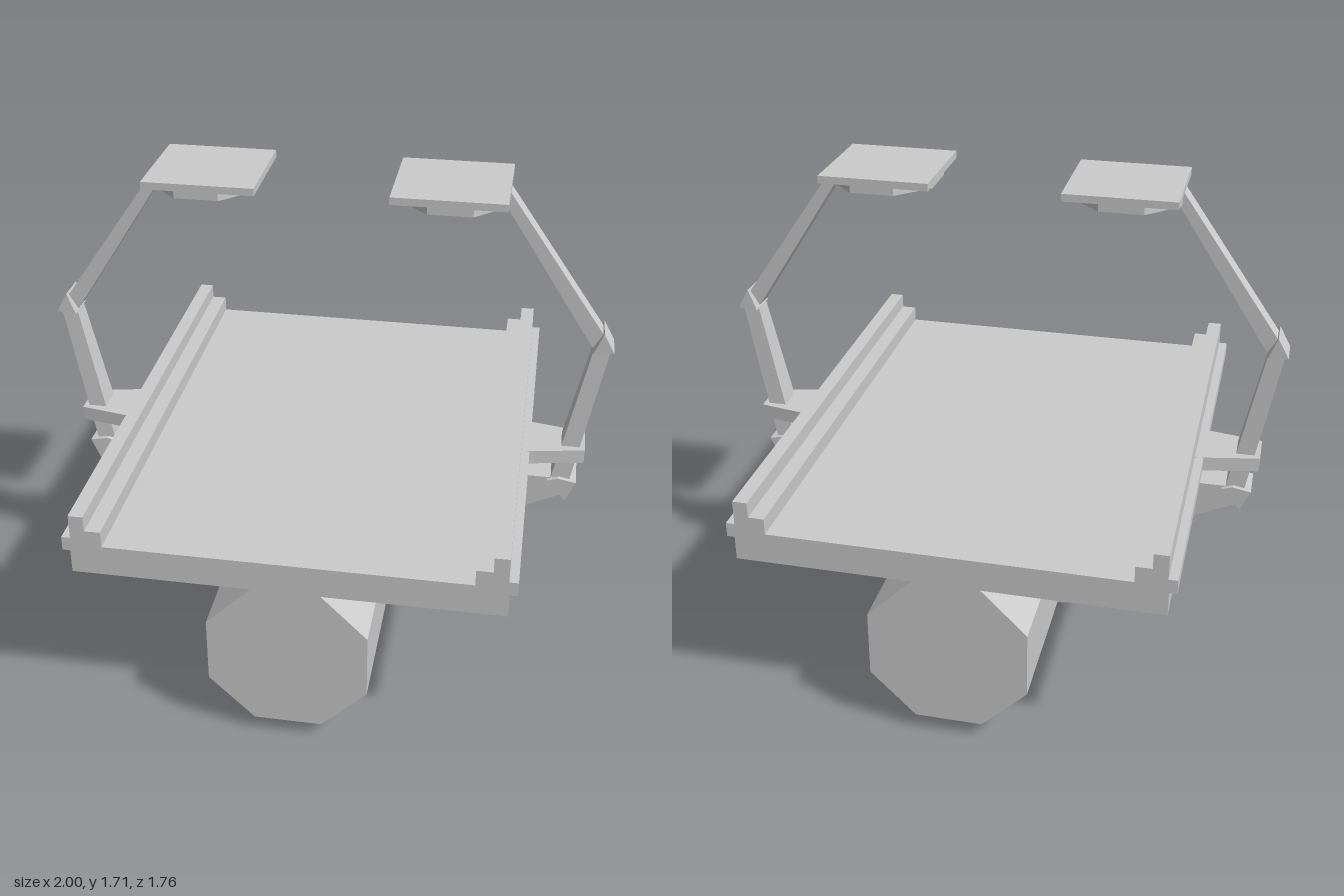
import * as THREE from 'three';

const material = new THREE.MeshStandardMaterial({ color: 0xcccccc, flatShading: true });

// Prism with an x-y outline, centred on z = 0
function prism(points, halfDepth) {
  const shape = new THREE.Shape(points.map(([x, y]) => new THREE.Vector2(x, y)));
  const geometry = new THREE.ExtrudeGeometry(shape, { depth: halfDepth * 2, bevelEnabled: false });
  return geometry.translate(0, 0, -halfDepth);
}

// Complete a right-half outline (bottom centre to top centre) with its mirror image
function symmetric(half) {
  return [...half, ...half.map(([x, y]) => [-x, y]).reverse()];
}

function add(parent, name, geometry) {
  const mesh = new THREE.Mesh(geometry, material);
  mesh.name = name;
  parent.add(mesh);
  return mesh;
}

// One folding arm with its joints and pad; side is +1 for left, -1 for right
function createArm(side) {
  const arm = new THREE.Group();
  arm.name = side > 0 ? 'leftArm' : 'rightArm';
  const flip = (points) => points.map(([x, y]) => [x * side, y]);

  // Wedge joint at the end of the cross frame
  add(arm, 'shoulderJoint', prism(flip([[0.915, 0.6], [0.88, 0.52], [0.81, 0.6], [0.85, 0.612]]), 0.068));

  // Lower arm, slimmer towards the elbow
  const lower = prism(flip([[0.82, 0.59], [0.888, 0.59], [0.988, 1.13], [0.957, 1.17], [0.93, 1.13]]), 1);
  const p = lower.attributes.position;
  for (let i = 0; i < p.count; i++) {
    const t = (p.getY(i) - 0.59) / 0.58;
    p.setZ(i, p.getZ(i) * (0.052 - 0.017 * t));
  }
  lower.computeVertexNormals();
  add(arm, 'lowerArm', lower);

  add(arm, 'elbowJoint', prism(flip([[0.93, 1.127], [1, 1.132], [0.96, 1.205]]), 0.055));
  add(arm, 'upperArm', prism(flip([[0.925, 1.14], [0.957, 1.195], [0.61, 1.69], [0.59, 1.655]]), 0.036));

  // Square plate with an octagonal disc beneath it
  const plate = new THREE.BoxGeometry(0.385, 0.026, 0.376);
  add(arm, 'padPlate', plate).position.set(0.417 * side, 1.695, 0);
  const radius = 0.183 / Math.cos(Math.PI / 8);
  const disc = new THREE.CylinderGeometry(radius, radius, 0.03, 8).rotateY(Math.PI / 8);
  add(arm, 'padDisc', disc).position.set(0.423 * side, 1.67, 0);

  // Tapered bracket guiding the arm, its plan turned flat
  const bracket = prism(flip([[0.7, -0.107], [0.74, -0.103], [0.935, -0.066], [0.935, 0.066], [0.74, 0.103], [0.7, 0.107]]), 0.026);
  add(arm, 'armBracket', bracket.rotateX(Math.PI / 2)).position.y = 0.715;
  return arm;
}

export function createModel() {
  const model = new THREE.Group();
  model.name = 'cargoPlatform';

  // Deck with stepped rails and side flanges
  add(model, 'deck', prism(symmetric([
    [0.714, 0.606], [0.714, 0.69], [0.74, 0.69], [0.74, 0.74], [0.71, 0.74],
    [0.71, 0.826], [0.66, 0.826], [0.66, 0.772], [0.606, 0.772], [0.606, 0.715],
  ]), 0.88));

  // Long octagonal hull below the deck
  add(model, 'hull', prism(symmetric([
    [0.115, 0.06], [0.27, 0.215], [0.27, 0.45], [0.113, 0.608],
  ]), 0.88));

  // Cross frame wrapped around the hull
  add(model, 'crossFrame', prism(symmetric([
    [0.245, 0], [0.375, 0.415], [0.655, 0.437], [0.875, 0.54], [0.85, 0.606],
  ]), 0.053));

  for (const side of [1, -1]) model.add(createArm(side));
  return model;
}
